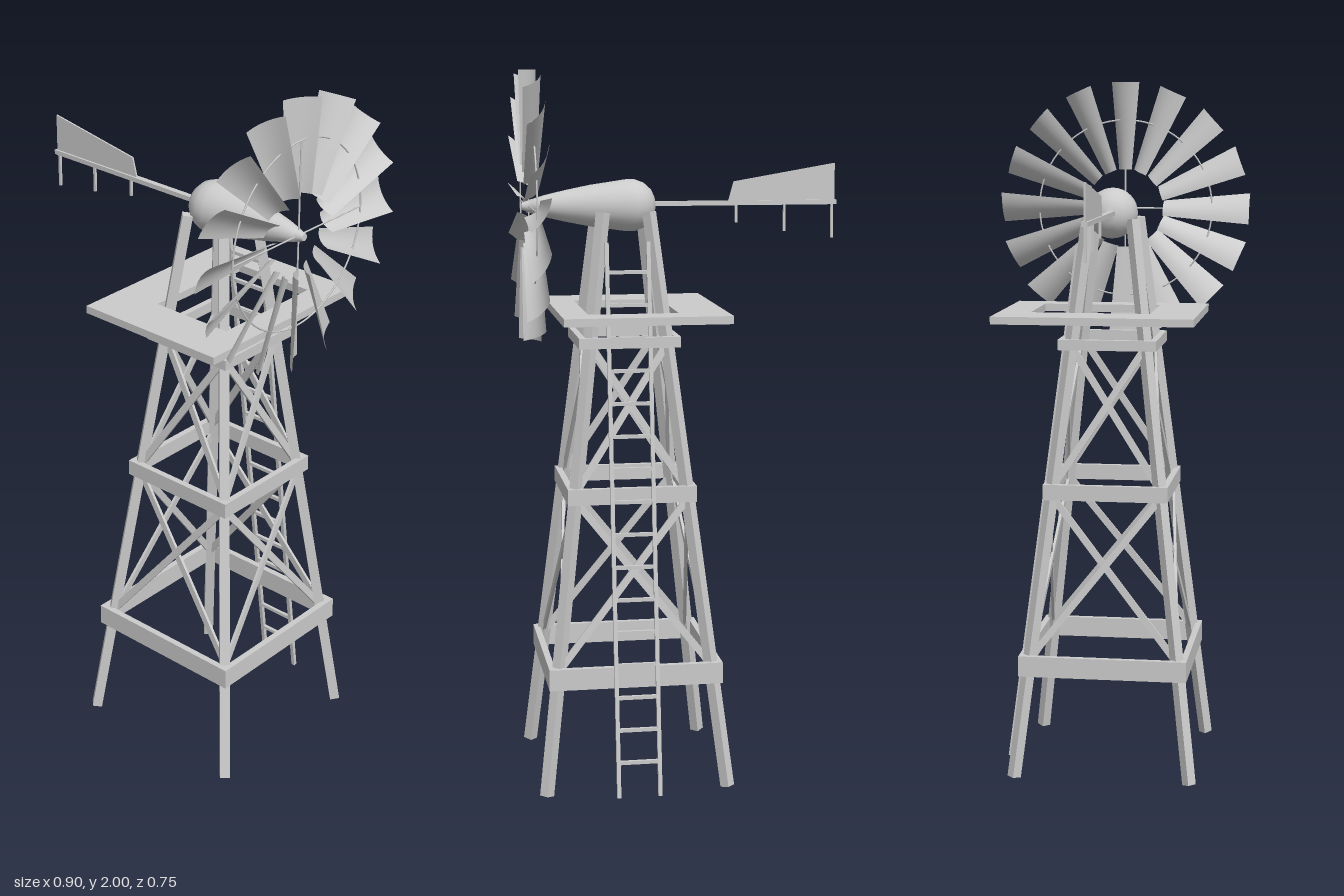
import * as THREE from 'three';

const mat = new THREE.MeshStandardMaterial({ color: 0xcccccc });
const thinMat = new THREE.MeshStandardMaterial({ color: 0xcccccc, side: THREE.DoubleSide });
const V = (x, y, z) => new THREE.Vector3(x, y, z);

function add(parent, name, geometry, material = mat) {
  const mesh = new THREE.Mesh(geometry, material);
  mesh.name = name;
  parent.add(mesh);
  return mesh;
}

function group(parent, name) {
  const g = new THREE.Group();
  g.name = name;
  parent.add(g);
  return g;
}

// Straight timber from a to b; its depth runs along the "out" direction
function beam(parent, name, a, b, width, depth, out) {
  const dir = b.clone().sub(a);
  const mesh = add(parent, name, new THREE.BoxGeometry(width, dir.length(), depth));
  const y = dir.normalize();
  const x = y.clone().cross(out).normalize();
  const z = x.clone().cross(y);
  mesh.quaternion.setFromRotationMatrix(new THREE.Matrix4().makeBasis(x, y, z));
  mesh.position.copy(a).add(b).multiplyScalar(0.5);
  return mesh;
}

// Half spacing of the tapering legs at height y
const spread = (y) => 0.256 - 0.119 * y;

function buildTower(root) {
  const tower = group(root, 'tower');
  tower.position.x = 0.158;

  // Four splayed legs set on the diagonal
  for (const sx of [-1, 1]) for (const sz of [-1, 1]) {
    const a = spread(0.002), b = spread(1.61);
    beam(tower, 'leg', V(sx * a, 0.002, sz * a), V(sx * b, 1.61, sz * b), 0.028, 0.028, V(sx, 0, sz));
  }

  // Horizontal bands and crossed braces, repeated on each side
  const bands = [[0.33, 0.06, 0.244], [0.832, 0.045, 0.181], [1.255, 0.03, 0.142]];
  const bays = [[0.36, 0.81], [0.855, 1.24]];
  for (let i = 0; i < 4; i++) {
    const side = group(tower, 'towerSide');
    side.rotation.y = i * Math.PI / 2;
    for (const [y, h, half] of bands) {
      add(side, 'band', new THREE.BoxGeometry(half * 2, h, 0.018)).position.set(0, y, half - 0.009);
    }
    for (const [y0, y1] of bays) for (const s of [-1, 1]) {
      const a = spread(y0), b = spread(y1), off = 0.003 * s;
      beam(side, 'crossBrace', V(-s * a, y0 - 0.01, a + off), V(s * b, y1 + 0.01, b + off), 0.02, 0.008, V(0, 0, 1));
    }
  }
}

function buildPlatform(root) {
  // Deck with a rectangular opening
  const deck = new THREE.Shape([[-0.1, -0.26], [0.36, -0.26], [0.36, 0.315], [-0.1, 0.315]].map((p) => new THREE.Vector2(...p)));
  deck.holes.push(new THREE.Path([[0.036, -0.122], [0.036, 0.222], [0.284, 0.222], [0.284, -0.122]].map((p) => new THREE.Vector2(...p))));
  const geo = new THREE.ExtrudeGeometry(deck, { depth: 0.022, bevelEnabled: false });
  geo.rotateX(-Math.PI / 2);
  add(root, 'platform', geo).position.y = 1.324;
}

function buildLadder(root) {
  const ladder = group(root, 'ladder');
  const zAt = (y) => -0.303 + 0.135 * y;
  for (const x of [0.101, 0.217]) {
    beam(ladder, 'ladderRail', V(x, 0.001, zAt(0)), V(x, 1.53, zAt(1.53)), 0.011, 0.011, V(0, 0, 1));
  }
  for (let i = 0; i < 16; i++) {
    const y = 0.098 + i * 0.09;
    const rung = add(ladder, 'ladderRung', new THREE.BoxGeometry(0.116, 0.01, 0.01));
    rung.position.set(0.159, y, zAt(y));
  }
}

function buildNacelle(root) {
  // Teardrop housing turned along the x axis
  const tip = [[0, 0.065], [0.025, 0.07], [0.045, 0.08], [0.063, 0.1], [0.072, 0.125], [0.0725, 0.15], [0.068, 0.18],
    [0.058, 0.25], [0.044, 0.32], [0.03, 0.38], [0.018, 0.42], [0, 0.425]];
  const geo = new THREE.LatheGeometry(tip.map((p) => new THREE.Vector2(...p)), 32);
  geo.rotateZ(-Math.PI / 2);
  add(root, 'nacelle', geo).position.y = 1.625;
}

function buildTail(root) {
  const tail = group(root, 'tail');
  tail.position.z = 0.008;
  add(tail, 'tailBoom', new THREE.BoxGeometry(0.56, 0.013, 0.017)).position.set(-0.175, 1.628, 0);

  // Tapering vane standing on the boom
  const vane = new THREE.Shape([[-0.45, 1.63], [-0.142, 1.63], [-0.158, 1.688], [-0.45, 1.738]].map((p) => new THREE.Vector2(...p)));
  add(tail, 'tailVane', new THREE.ExtrudeGeometry(vane, { depth: 0.005, bevelEnabled: false })).position.z = -0.0025;

  // Short rods hanging under the boom
  for (const [x, low] of [[-0.443, 1.527], [-0.305, 1.547], [-0.166, 1.573]]) {
    const h = 1.635 - low;
    add(tail, 'tailRod', new THREE.BoxGeometry(0.007, h, 0.007)).position.set(x, low + h / 2, 0);
  }
}

function buildRotor(root) {
  const rotor = group(root, 'rotor');
  rotor.position.set(0.422, 1.625, 0);

  // Pitched, cambered blade that widens outward
  const blade = new THREE.PlaneGeometry(1, 1, 8, 4);
  const p = blade.attributes.position;
  for (let i = 0; i < p.count; i++) {
    const u = p.getX(i), v = p.getY(i) + 0.5;
    const bow = 0.012 * (1 - 4 * u * u);
    const width = 0.044 + 0.046 * v;
    const rake = 0.044 + 0.012 * v;
    p.setXYZ(i, -u * rake - bow * 0.85, 0.115 + 0.259 * v, u * width - bow * 0.5);
  }
  blade.computeVertexNormals();
  for (let i = 0; i < 16; i++) {
    add(rotor, 'blade', blade, thinMat).rotation.x = i * Math.PI / 8;
  }

  // Ring, spokes and hub
  add(rotor, 'bladeRing', new THREE.TorusGeometry(0.262, 0.0025, 6, 64)).rotation.y = Math.PI / 2;
  for (let i = 0; i < 4; i++) {
    const spoke = add(rotor, 'spoke', new THREE.CylinderGeometry(0.0025, 0.0025, 0.262, 6).translate(0, 0.131, 0));
    spoke.rotation.x = i * Math.PI / 2;
  }
  const hub = new THREE.CylinderGeometry(0.01, 0.02, 0.03, 16).rotateZ(-Math.PI / 2);
  add(rotor, 'hub', hub).position.x = 0.005;
}

export function createModel() {
  const root = new THREE.Group();
  root.name = 'windPump';
  buildTower(root);
  buildPlatform(root);
  buildLadder(root);
  buildNacelle(root);
  buildTail(root);
  buildRotor(root);
  return root;
}
